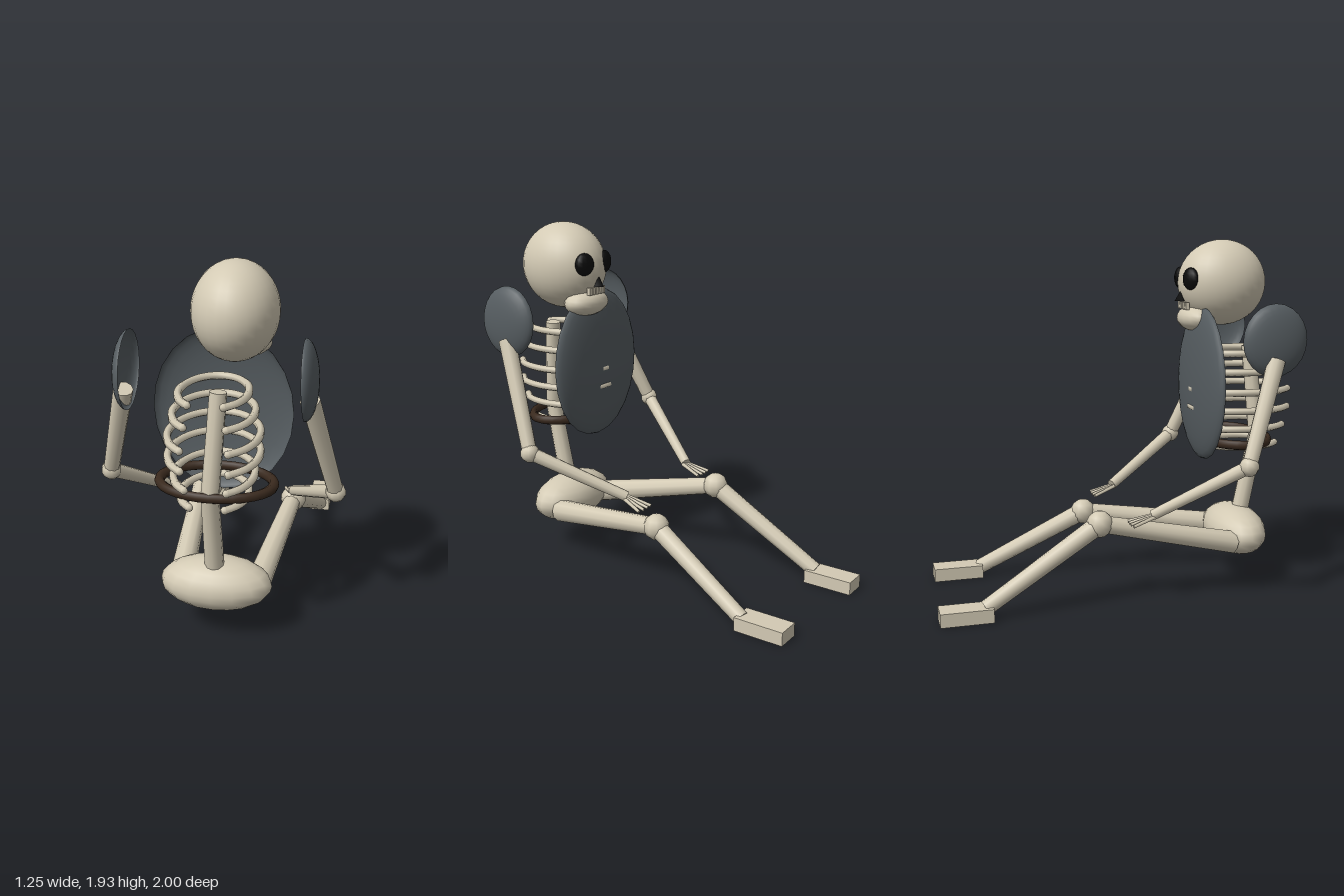
import * as THREE from 'three';

export function createModel() {
  const model = new THREE.Group();
  model.name = 'seatedSkeleton';
  const mat = (name, color, side = THREE.FrontSide) => {
    const m = new THREE.MeshStandardMaterial({ color, side });
    m.name = name;
    return m;
  };
  const bone = mat('bone', 0xd3cab4);
  const steel = mat('armourGrey', 0x565d61, THREE.DoubleSide);
  const leather = mat('darkLeather', 0x3a2a1e);
  const black = mat('socketBlack', 0x0a0a0a);

  const V = (a) => new THREE.Vector3(...a);
  const add = (name, geo, material, pos = [0, 0, 0], parent = model) => {
    const m = new THREE.Mesh(geo, material);
    m.name = name;
    m.position.set(...pos);
    parent.add(m);
    return m;
  };
  const ball = (name, pos, r, material = bone, parent = model, seg = 16) =>
    add(name, new THREE.SphereGeometry(1, seg, Math.ceil(seg * 0.7)).scale(...r), material, pos, parent);
  // Tapered bone from a to b
  const limb = (name, a, b, ra, rb, parent = model, sides = 10) => {
    const p = V(a), q = V(b), d = q.clone().sub(p);
    const m = add(name, new THREE.CylinderGeometry(rb, ra, d.length(), sides), bone,
      p.clone().add(q).multiplyScalar(0.5).toArray(), parent);
    m.quaternion.setFromUnitVectors(new THREE.Vector3(0, 1, 0), d.normalize());
    return m;
  };
  // Open dome bulging along +y before it is turned
  const dome = () => new THREE.SphereGeometry(1, 24, 8, 0, Math.PI * 2, 0, Math.PI / 2);

  // Head, whose face looks toward -z
  const head = new THREE.Group();
  head.name = 'head';
  model.add(head);
  ball('skull', [0.09, 1.69, 0.66], [0.207, 0.237, 0.25], bone, head, 28);
  ball('jaw', [0.09, 1.495, 0.51], [0.15, 0.075, 0.1], bone, head);
  for (const s of [-1, 1]) {
    const eye = ball('eyeSocket', [0.09 + s * 0.085, 1.715, 0.447], [0.058, 0.062, 0.036], black, head, 12);
    eye.rotation.y = -s * 0.3;
  }
  add('noseHole', new THREE.ConeGeometry(0.036, 0.06, 4), black, [0.09, 1.62, 0.42], head);
  for (let i = -2; i <= 2; i++)
    add('tooth', new THREE.BoxGeometry(0.02, 0.04, 0.02), bone, [0.09 + i * 0.028, 1.565, 0.438], head);

  // Spine and pelvis
  ball('pelvis', [0, 0.285, 0.73], [0.285, 0.137, 0.16]);
  limb('lowerSpine', [0, 0.32, 0.75], [0, 0.85, 0.86], 0.05, 0.045);
  limb('upperSpine', [0, 0.82, 0.855], [0.035, 1.34, 0.81], 0.045, 0.042);

  // Ribs: elliptical hoops open at the spine
  const ribs = [[1.315, 0.165, 0.225], [1.215, 0.195, 0.255], [1.107, 0.22, 0.28],
    [1.005, 0.22, 0.28], [0.9, 0.195, 0.255], [0.795, 0.165, 0.215]];
  for (const [y, rx, rz] of ribs) {
    const pts = [];
    for (let i = 0; i <= 16; i++) {
      const a = 0.54 + (i / 16) * (Math.PI * 2 - 1.08);
      pts.push(new THREE.Vector3(rx * Math.sin(a), y, 0.745 + rz * Math.cos(a)));
    }
    add('rib', new THREE.TubeGeometry(new THREE.CatmullRomCurve3(pts), 32, 0.02, 6), bone);
    for (const p of [pts[0], pts[16]]) ball('ribEnd', p.toArray(), [0.02, 0.02, 0.02], bone, model, 6);
  }

  // Belt
  add('belt', new THREE.TorusGeometry(0.283, 0.026, 8, 32).rotateX(Math.PI / 2).scale(1, 1, 0.67),
    leather, [0, 0.83, 0.7]);

  // Chest and shoulder armour
  add('breastplate', dome().rotateX(-Math.PI / 2).scale(0.353, 0.427, 0.073), steel, [0, 1.135, 0.523]);
  for (const [s, x] of [[-1, -0.397], [1, 0.432]]) {
    const pad = add('shoulderPlate', dome().rotateZ(-s * Math.PI / 2).scale(0.063, 0.193, 0.18),
      steel, [x, 1.41, 0.775]);
    if (s > 0) pad.rotation.z = 0.04;
  }

  // Arms: shoulder, elbow, wrist, centre of the fingertips
  const arms = [
    ['rightArm', [-0.43, 1.31, 0.77], [-0.575, 0.787, 0.57], [-0.342, 0.5, 0.13], [-0.342, 0.46, 0]],
    ['leftArm', [0.455, 1.31, 0.77], [0.57, 0.74, 0.53], [0.305, 0.505, 0.08], [0.3, 0.46, -0.045]],
  ];
  for (const [name, shoulder, elbow, wrist, tip] of arms) {
    const g = new THREE.Group();
    g.name = name;
    model.add(g);
    limb('upperArm', shoulder, elbow, 0.048, 0.04, g);
    ball('elbow', elbow, [0.052, 0.052, 0.052], bone, g, 10);
    limb('forearm', elbow, wrist, 0.038, 0.029, g);
    for (let i = 0; i < 4; i++) {
      const f = i - 1.5;
      limb('finger', [wrist[0] + f * 0.012, wrist[1] - 0.005, wrist[2] + 0.01],
        [tip[0] + f * 0.036, tip[1], tip[2] + Math.abs(f) * 0.005], 0.011, 0.009, g, 6);
    }
  }

  // Legs: hip, knee, ankle, foot centre
  const legs = [
    ['rightLeg', [-0.195, 0.26, 0.65], [-0.25, 0.445, -0.137], [-0.307, 0.06, -0.76], [-0.308, 0.037, -0.863]],
    ['leftLeg', [0.205, 0.26, 0.65], [0.282, 0.365, -0.1], [0.383, 0.045, -0.7], [0.377, 0.037, -0.825]],
  ];
  for (const [name, hip, knee, ankle, foot] of legs) {
    const g = new THREE.Group();
    g.name = name;
    model.add(g);
    limb('thigh', hip, knee, 0.064, 0.048, g);
    ball('knee', knee, [0.072, 0.072, 0.072], bone, g, 10);
    limb('shin', knee, ankle, 0.052, 0.042, g);
    add('foot', new THREE.BoxGeometry(0.128, 0.073, 0.276), bone, foot, g);
  }
  return model;
}
